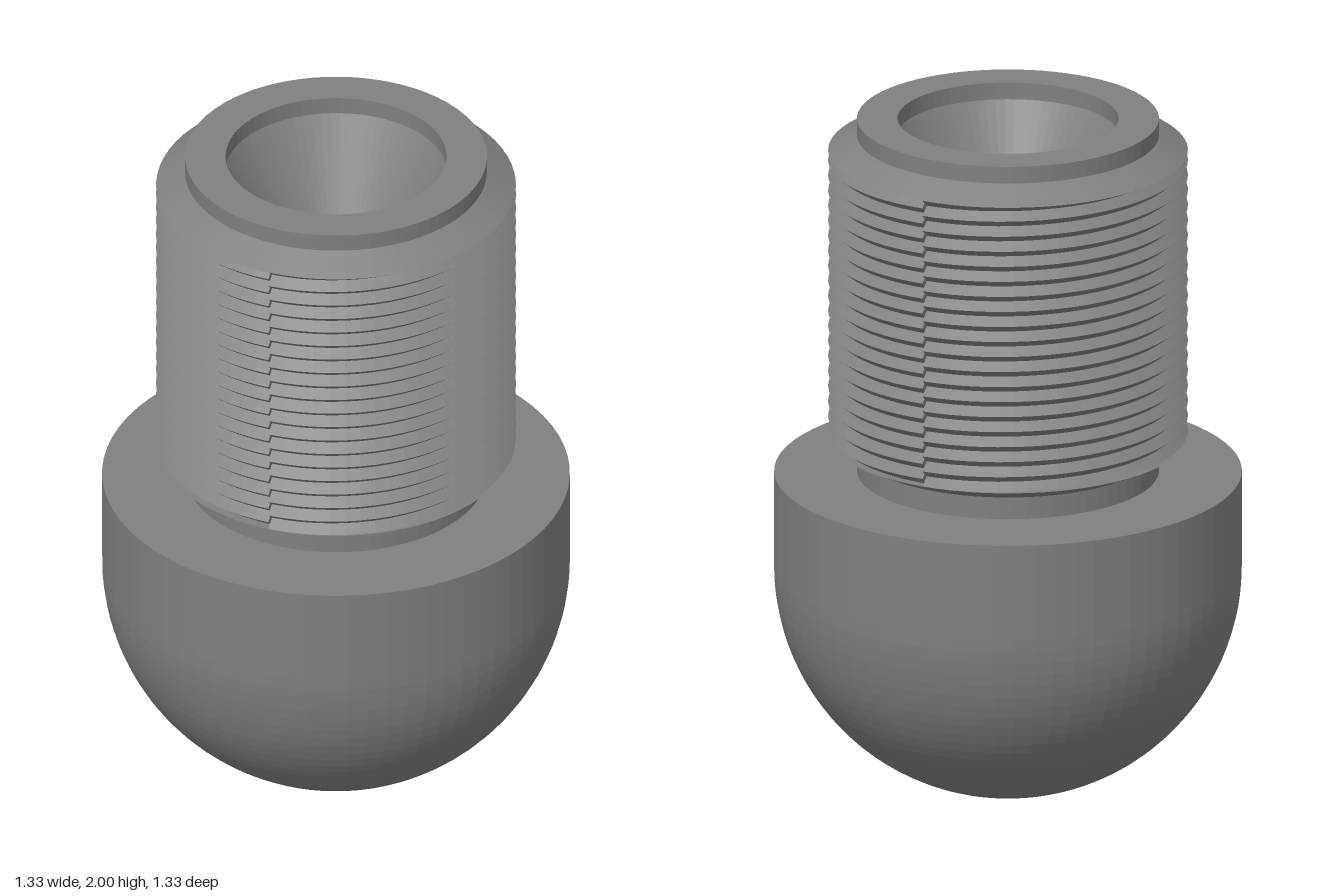
import * as THREE from 'three';

const material = new THREE.MeshStandardMaterial({
  color: 0x808080, side: THREE.DoubleSide, flatShading: true,
});
const SEGMENTS = 72;

const vectors = (pairs) => pairs.map(([r, y]) => new THREE.Vector2(r, y));

function faceted(name, geometry) {
  const flat = geometry.toNonIndexed();
  flat.computeVertexNormals();
  const mesh = new THREE.Mesh(flat, material);
  mesh.name = name;
  return mesh;
}

const turned = (name, pairs) => faceted(name, new THREE.LatheGeometry(vectors(pairs), SEGMENTS));

export function createModel() {
  const group = new THREE.Group();
  group.name = 'nozzle';

  const R = 0.663, neck = 0.428, crest = 0.51, root = 0.483, hole = 0.015;
  const threadLow = 1.05, threadHigh = 1.905, turns = 19;

  // Domed head, flat shoulder and relieved neck up to the thread
  const dome = [];
  const first = Math.asin(hole / R);
  for (let i = 0; i <= 28; i++) {
    const a = first + (Math.PI / 2 - first) * i / 28;
    dome.push([R * Math.sin(a), R - R * Math.cos(a)]);
  }
  group.add(turned('domedHead', [
    ...dome, [R, 0.945], [neck, 0.945], [neck, 1.01], [crest, threadLow],
  ]));

  // Chamfered collar, top rim, and the funnel and bore narrowing to the tip hole
  group.add(turned('rimAndBore', [
    [crest, threadHigh], [neck, 1.95], [neck, 2], [0.313, 2], [0.313, 1.95],
    [0.13, 1.63], [0.13, 0.25], [hole, 0.05], [hole, dome[0][1]],
  ]));

  // Thread: two half turns, each climbing half a pitch from one seam to the other
  const step = (threadHigh - threadLow) / (turns * 2);
  const clampY = (y) => THREE.MathUtils.clamp(y, threadLow, threadHigh);
  const profile = [];
  for (let i = -2; i <= turns * 2; i++) {
    profile.push([i % 2 ? root : crest, threadLow + i * step]);
  }
  for (const side of [0, 1]) {
    const name = side ? 'rightThread' : 'leftThread';
    const columns = SEGMENTS / 2;
    const half = new THREE.LatheGeometry(vectors(profile), columns, side * Math.PI, Math.PI);
    const position = half.attributes.position;
    for (let i = 0; i < position.count; i++) {
      const column = Math.floor(i / profile.length);
      position.setY(i, clampY(position.getY(i) + step * column / columns));
    }
    group.add(faceted(name, half));

    // Small step faces where the halves meet: low at the start, high at the end
    for (const end of [0, 1]) {
      const outline = new THREE.Shape(vectors([
        ...profile.map(([r, y]) => [r, clampY(y + end * step)]),
        [root - 0.01, threadHigh], [root - 0.01, threadLow],
      ]));
      const seam = faceted(name + 'Seam', new THREE.ShapeGeometry(outline));
      seam.rotation.y = (side + end - 0.5) * Math.PI;
      group.add(seam);
    }
  }
  return group;
}
